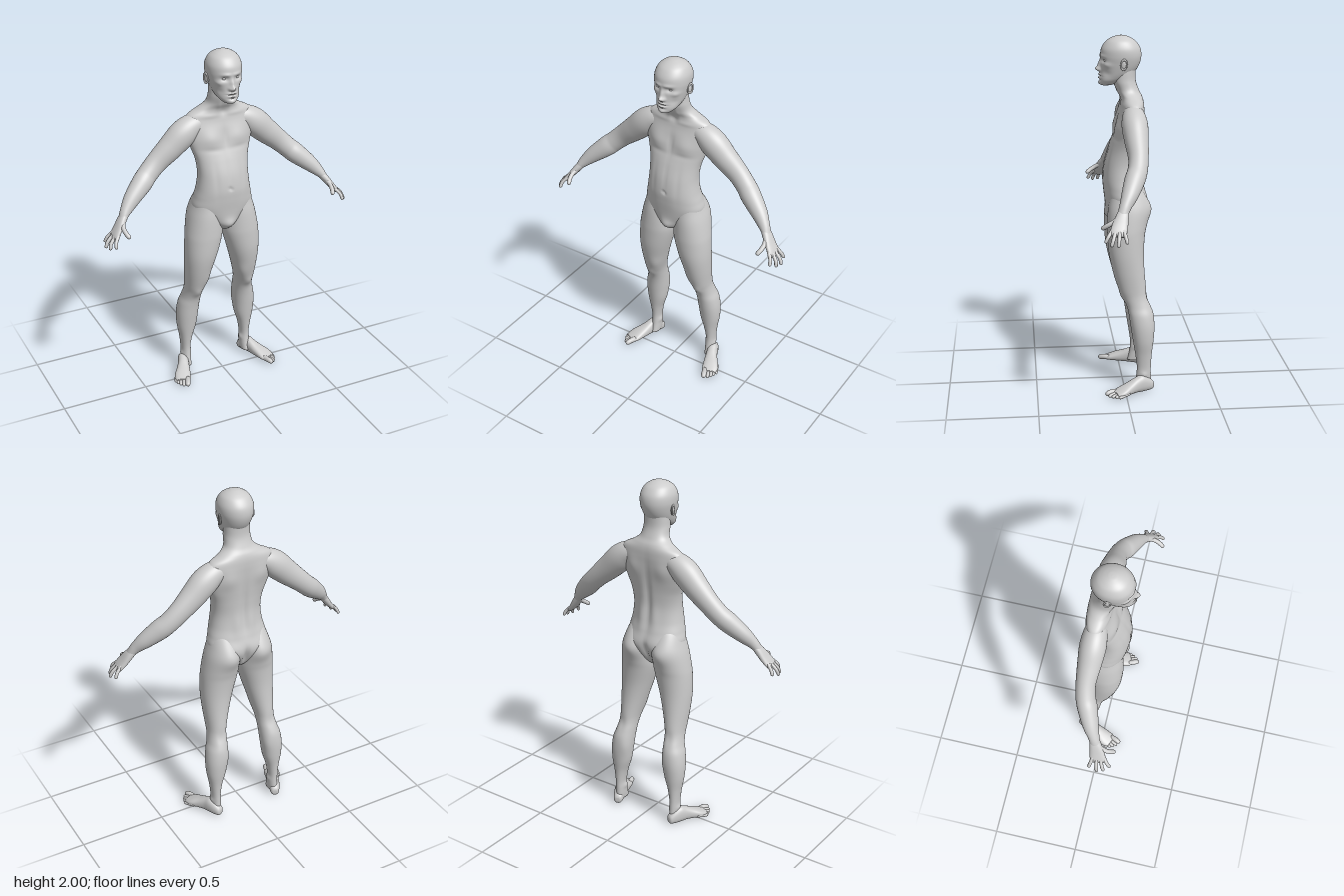
import * as THREE from 'three';

const X = new THREE.Vector3(1, 0, 0), Y = new THREE.Vector3(0, 1, 0), Z = new THREE.Vector3(0, 0, 1);

// Smooth interpolation through rows of numbers
function sampleRow(rows, s) {
  const last = rows.length - 1, i = Math.min(Math.floor(s), last - 1), t = s - i;
  const p0 = rows[Math.max(i - 1, 0)], p1 = rows[i], p2 = rows[i + 1], p3 = rows[Math.min(i + 2, last)];
  return p1.map((v, k) => {
    const m1 = (p2[k] - p0[k]) / 2, m2 = (p3[k] - v) / 2, d = p2[k] - v;
    return v + t * (m1 + t * (3 * d - 2 * m1 - m2 + t * (m1 + m2 - 2 * d)));
  });
}

// Soft muscle and feature bumps: [centre xyz, spread xyz, push xyz], mirrored over x
function sculpt(p, bumps) {
  const ax = Math.abs(p.x), y = p.y, z = p.z, side = p.x < 0 ? -1 : 1;
  for (const [cx, cy, cz, sx, sy, sz, dx, dy, dz] of bumps) {
    const w = Math.exp(-(((ax - cx) / sx) ** 2) - ((y - cy) / sy) ** 2 - ((z - cz) / sz) ** 2);
    p.x += side * dx * w;
    p.y += dy * w;
    p.z += dz * w;
  }
}

// Closed skin over sections [x, y, z, radius along ref, radius across]
function loft(rows, { ref = X, axis = null, n = 2, seg = 28, sub = 6, bumps = [] } = {}) {
  const steps = (rows.length - 1) * sub, pos = [], index = [];
  const samples = [];
  for (let i = 0; i <= steps; i++) samples.push(sampleRow(rows, i / sub));
  const centres = samples.map(r => new THREE.Vector3(r[0], r[1], r[2]));
  const pow = v => Math.sign(v) * Math.abs(v) ** (2 / n);
  const put = p => { sculpt(p, bumps); pos.push(p.x, p.y, p.z); };
  samples.forEach((r, i) => {
    const t = axis || centres[Math.min(i + 1, steps)].clone().sub(centres[Math.max(i - 1, 0)]).normalize();
    const b = ref.clone().addScaledVector(t, -ref.dot(t)).normalize();
    const m = b.clone().cross(t);
    for (let j = 0; j < seg; j++) {
      const a = (j / seg) * Math.PI * 2;
      put(centres[i].clone().addScaledVector(b, pow(Math.cos(a)) * r[3]).addScaledVector(m, pow(Math.sin(a)) * r[4]));
    }
  });
  put(centres[0].clone());
  put(centres[steps].clone());
  const start = (steps + 1) * seg, end = start + 1;
  for (let j = 0; j < seg; j++) {
    const k = (j + 1) % seg;
    for (let i = 0; i < steps; i++) {
      const a = i * seg + j, b = a + seg, c = (i + 1) * seg + k, d = i * seg + k;
      index.push(a, b, c, a, c, d);
    }
    index.push(start, j, k, end, steps * seg + k, steps * seg + j);
  }
  const g = new THREE.BufferGeometry();
  g.setAttribute('position', new THREE.Float32BufferAttribute(pos, 3));
  g.setIndex(index);
  g.computeVertexNormals();
  return g;
}

// Rounded finger or toe through points
function digit(points, r) {
  const q = points.map(p => new THREE.Vector3(...p)), tip = q[q.length - 1];
  const back = q[q.length - 2].clone().sub(tip).normalize();
  const rows = q.slice(0, -1).map(p => [p.x, p.y, p.z, r, r]);
  for (const [d, s] of [[1.1, 0.95], [0.4, 0.75], [0.08, 0.4], [0, 0.08]]) {
    const p = tip.clone().addScaledVector(back, d * r);
    rows.push([p.x, p.y, p.z, r * s, r * s]);
  }
  return loft(rows, { seg: 14, sub: 3 });
}

function mirror(geo) {
  const g = geo.clone().scale(-1, 1, 1), a = g.index.array;
  for (let i = 0; i < a.length; i += 3) [a[i], a[i + 1]] = [a[i + 1], a[i]];
  g.computeVertexNormals();
  return g;
}

export function createModel() {
  const model = new THREE.Group();
  model.name = 'figure';
  const skin = new THREE.MeshStandardMaterial({ color: 0xcccccc });
  skin.name = 'grey skin';
  const add = (name, geo) => {
    const mesh = new THREE.Mesh(geo, skin);
    mesh.name = name;
    model.add(mesh);
  };
  const addPair = (name, geo) => { add(name + 'Left', geo); add(name + 'Right', mirror(geo)); };
  const upright = ([y, x0, x1, z0, z1]) => [(x0 + x1) / 2, y, (z0 + z1) / 2, (x1 - x0) / 2, (z1 - z0) / 2];
  const centred = ([y, w, z0, z1]) => upright([y, -w, w, z0, z1]);

  // Torso and neck: height, half width, back, front
  add('torso', loft([
    [0.945, 0.012, -0.04, 0.02], [0.955, 0.03, -0.07, 0.05], [0.99, 0.075, -0.1, 0.078], [1.04, 0.135, -0.125, 0.092],
    [1.1, 0.176, -0.135, 0.1], [1.16, 0.167, -0.121, 0.107], [1.22, 0.154, -0.106, 0.11], [1.3, 0.146, -0.098, 0.1],
    [1.38, 0.154, -0.102, 0.076], [1.45, 0.176, -0.108, 0.05], [1.51, 0.196, -0.113, 0.034], [1.56, 0.206, -0.116, 0.025],
    [1.6, 0.205, -0.118, 0.016], [1.637, 0.18, -0.117, 0.01], [1.667, 0.124, -0.11, 0.012], [1.7, 0.084, -0.093, 0.03],
    [1.75, 0.074, -0.076, 0.05], [1.8, 0.071, -0.074, 0.05], [1.845, 0.068, -0.08, 0.04],
  ].map(centred), {
    axis: Y, n: 2.2, seg: 96, sub: 8, bumps: [
      [0.085, 1.505, 0.03, 0.065, 0.05, 0.07, 0, 0, 0.014], // chest
      [0.08, 1.445, 0.05, 0.06, 0.014, 0.06, 0, 0, -0.003],
      [0, 1.5, 0.04, 0.012, 0.06, 0.06, 0, 0, -0.005],
      [0, 1.32, 0.095, 0.01, 0.09, 0.06, 0, 0, -0.003], // belly
      [0.075, 1.28, 0.09, 0.015, 0.1, 0.06, 0, 0, -0.003],
      [0, 1.225, 0.11, 0.009, 0.009, 0.04, 0, 0, -0.01],
      [0, 1.0, 0.085, 0.04, 0.035, 0.05, 0, 0, 0.018],
      [0.08, 1.63, 0, 0.06, 0.012, 0.05, 0, 0, 0.003], // collarbones and neck
      [0, 1.645, 0.01, 0.02, 0.02, 0.04, 0, 0, -0.007],
      [0.03, 1.69, 0.02, 0.012, 0.04, 0.04, 0, 0, 0.004],
      [0, 1.36, -0.11, 0.018, 0.17, 0.05, 0, 0, 0.011], // back
      [0.1, 1.53, -0.11, 0.05, 0.06, 0.05, 0, 0, -0.01],
      [0.045, 1.24, -0.1, 0.025, 0.08, 0.05, 0, 0, -0.006],
      [0.08, 1.065, -0.14, 0.06, 0.05, 0.06, 0, 0, -0.012], // seat
      [0, 1.03, -0.14, 0.015, 0.06, 0.06, 0, 0, 0.018],
    ],
  }));

  // Head: height, half width, back, front
  add('head', loft([
    [1.728, 0.018, 0.065, 0.11], [1.735, 0.036, 0.04, 0.12], [1.755, 0.056, 0, 0.124], [1.78, 0.069, -0.045, 0.123],
    [1.81, 0.079, -0.077, 0.12], [1.85, 0.089, -0.098, 0.119], [1.89, 0.096, -0.106, 0.119], [1.93, 0.094, -0.1, 0.113],
    [1.965, 0.078, -0.077, 0.09], [1.985, 0.054, -0.05, 0.062], [1.997, 0.025, -0.02, 0.03], [2, 0.004, 0.001, 0.009],
  ].map(centred), {
    axis: Y, n: 2.1, seg: 112, sub: 14, bumps: [
      [0, 1.818, 0.125, 0.014, 0.014, 0.04, 0, 0, 0.024], // nose
      [0, 1.842, 0.122, 0.012, 0.024, 0.04, 0, 0, 0.013],
      [0.014, 1.814, 0.122, 0.008, 0.009, 0.04, 0, 0, 0.009],
      [0.036, 1.868, 0.11, 0.02, 0.013, 0.04, 0, 0, -0.012], // eye sockets and brow
      [0.03, 1.891, 0.11, 0.03, 0.01, 0.04, 0, 0, 0.005],
      [0, 1.789, 0.125, 0.02, 0.006, 0.04, 0, 0, 0.009], // mouth
      [0, 1.78, 0.125, 0.026, 0.003, 0.04, 0, 0, -0.006],
      [0, 1.771, 0.125, 0.018, 0.006, 0.04, 0, 0, 0.009],
      [0, 1.758, 0.125, 0.022, 0.006, 0.04, 0, 0, -0.004],
      [0, 1.742, 0.12, 0.022, 0.013, 0.04, 0, 0, 0.008], // chin
      [0.06, 1.845, 0.08, 0.02, 0.015, 0.03, 0.004, 0, 0.006], // cheeks
      [0.053, 1.797, 0.08, 0.02, 0.02, 0.03, -0.003, 0, -0.003],
    ],
  }));
  addPair('eye', new THREE.SphereGeometry(0.013, 20, 14).scale(1.15, 0.72, 1).translate(0.036, 1.868, 0.0905));
  addPair('ear', new THREE.SphereGeometry(1, 20, 14).scale(0.008, 0.028, 0.017).rotateY(-0.25).translate(0.092, 1.848, 0));
  addPair('earRim', new THREE.TorusGeometry(0.0165, 0.004, 10, 28).scale(1, 1.6, 1)
    .rotateY(Math.PI / 2 - 0.3).rotateX(-0.12).translate(0.098, 1.85, -0.002));

  // Legs: height, inner, outer, back, front, with the top sunk into the hips
  addPair('leg', loft([
    [0.03, 0.17, 0.218, -0.14, -0.05], [0.06, 0.167, 0.22, -0.147, -0.058], [0.1, 0.166, 0.221, -0.147, -0.065],
    [0.15, 0.167, 0.222, -0.147, -0.067], [0.22, 0.155, 0.23, -0.152, -0.058], [0.3, 0.131, 0.244, -0.162, -0.045],
    [0.38, 0.121, 0.247, -0.167, -0.033], [0.45, 0.115, 0.238, -0.162, -0.023], [0.5, 0.112, 0.222, -0.148, -0.012],
    [0.55, 0.108, 0.213, -0.13, 0.008], [0.6, 0.098, 0.213, -0.122, 0.033], [0.7, 0.07, 0.22, -0.113, 0.064],
    [0.8, 0.04, 0.224, -0.11, 0.085], [0.9, 0.012, 0.221, -0.117, 0.092], [0.96, 0.005, 0.214, -0.128, 0.092],
    [1.04, 0.006, 0.199, -0.14, 0.088], [1.1, 0.014, 0.181, -0.13, 0.08], [1.16, 0.03, 0.16, -0.1, 0.07],
    [1.2, 0.05, 0.135, -0.07, 0.05],
  ].map(upright), {
    axis: Y, n: 2.1, seg: 48, sub: 6, bumps: [
      [0.09, 1.045, -0.13, 0.065, 0.055, 0.06, 0, 0, -0.016], // seat
      [0.163, 0.555, 0.01, 0.025, 0.03, 0.04, 0, 0, 0.01], // knee
      [0.115, 0.65, 0.02, 0.03, 0.05, 0.05, -0.003, 0, 0.006],
      [0.165, 0.54, -0.14, 0.025, 0.05, 0.04, 0, 0, 0.006],
      [0.135, 0.4, -0.14, 0.03, 0.06, 0.05, -0.004, 0, -0.005], // calf
      [0.22, 0.1, -0.105, 0.02, 0.016, 0.02, 0.006, 0, 0], // ankle bones
      [0.166, 0.115, -0.1, 0.02, 0.016, 0.02, -0.006, 0, 0],
    ],
  }));

  // Feet, built pointing forward from the heel and then turned out
  const place = g => g.rotateY(0.42).translate(0.186, 0, -0.16);
  addPair('foot', place(loft([
    [0, 0.032, 0, 0.012, 0.012], [0, 0.033, 0.009, 0.024, 0.027], [0, 0.043, 0.04, 0.031, 0.042],
    [0.001, 0.05, 0.075, 0.032, 0.049], [-0.001, 0.045, 0.11, 0.033, 0.043], [0, 0.036, 0.15, 0.039, 0.034],
    [0.003, 0.028, 0.19, 0.046, 0.026], [0.002, 0.022, 0.22, 0.046, 0.019], [0, 0.018, 0.245, 0.037, 0.012],
  ], { axis: Z, n: 2.3, seg: 40 })));
  [[-0.027, 0.292, 0.0155], [-0.004, 0.286, 0.0105], [0.014, 0.275, 0.01], [0.029, 0.261, 0.0095], [0.043, 0.244, 0.009]]
    .forEach(([x, z, r], i) => addPair('toe' + (i + 1), place(digit(
      [[x * 0.9, 0.021, z - 0.07], [x, r + 0.007, z - 0.035], [x, r, z]], r))));

  // Arms: centre line with depth and thickness, starting deep in the shoulder
  addPair('arm', loft([
    [0.05, 1.59, -0.05, 0.03, 0.025], [0.105, 1.588, -0.05, 0.05, 0.05], [0.165, 1.57, -0.05, 0.065, 0.067],
    [0.22, 1.53, -0.05, 0.071, 0.077], [0.29, 1.465, -0.052, 0.064, 0.071], [0.37, 1.395, -0.053, 0.054, 0.061],
    [0.43, 1.34, -0.042, 0.053, 0.057], [0.475, 1.3, -0.022, 0.054, 0.057], [0.545, 1.24, 0.01, 0.044, 0.046],
    [0.59, 1.195, 0.036, 0.032, 0.033], [0.615, 1.165, 0.05, 0.028, 0.023], [0.63, 1.145, 0.056, 0.026, 0.016],
  ], { ref: Z, seg: 44, sub: 8 }));

  // Hands and fingers
  addPair('hand', loft([
    [0.6, 1.18, 0.043, 0.025, 0.02], [0.625, 1.15, 0.055, 0.033, 0.021], [0.655, 1.11, 0.07, 0.041, 0.018],
    [0.68, 1.08, 0.08, 0.043, 0.014], [0.693, 1.063, 0.084, 0.034, 0.008],
  ], { ref: Z, n: 2.3 }));
  const fingers = {
    indexFinger: [[0.664, 1.094, 0.108], [0.69, 1.064, 0.132], [0.698, 1.032, 0.15]],
    middleFinger: [[0.675, 1.088, 0.094], [0.71, 1.052, 0.109], [0.722, 1.018, 0.12]],
    ringFinger: [[0.678, 1.088, 0.074], [0.718, 1.053, 0.08], [0.735, 1.018, 0.086]],
    littleFinger: [[0.672, 1.095, 0.054], [0.706, 1.062, 0.045], [0.723, 1.03, 0.037]],
  };
  for (const [name, points] of Object.entries(fingers)) addPair(name, digit(points, 0.0098));
  addPair('thumb', digit([[0.625, 1.145, 0.07], [0.636, 1.123, 0.105], [0.633, 1.105, 0.135], [0.622, 1.085, 0.163]], 0.0125));
  return model;
}
